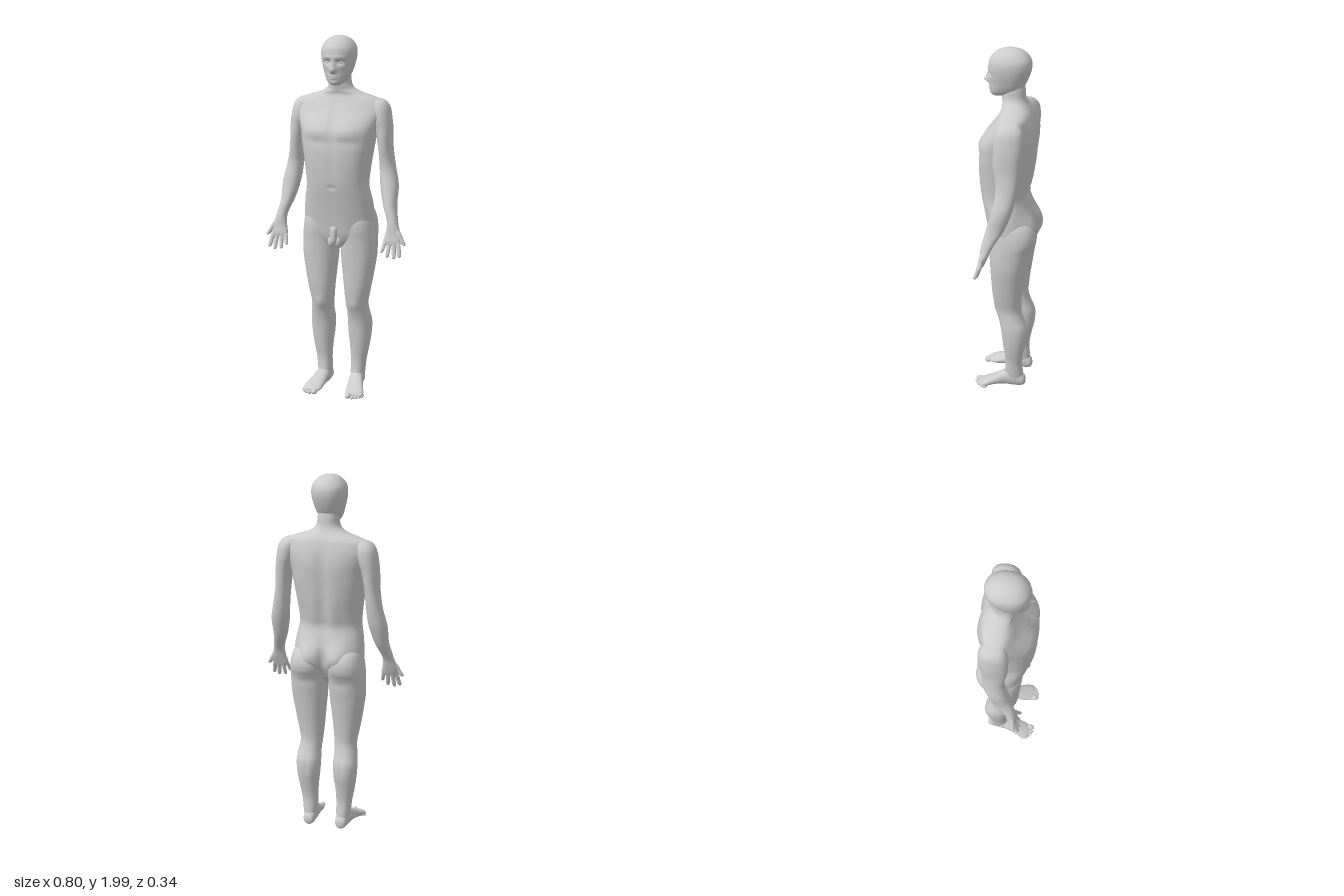
import * as THREE from 'three';

const skin = new THREE.MeshStandardMaterial({ color: 0xcccccc });
skin.name = 'plain grey';

// Smooth interpolation of one number through four neighbours
const spline = (a, b, c, d, t) =>
  0.5 * (2 * b + (c - a) * t + (2 * a - 5 * b + 4 * c - d) * t * t + (3 * b - a - 3 * c + d) * t * t * t);

// Loft through rings [along, centreX, radiusX, back, front, roundness].
// Rings run from top to bottom, or from heel to toe with alongZ, which swaps y and z.
// bumps: [x, along, side (1 front, -1 back), spreadX, spreadAlong, outward]
function loft(name, rings, { side = 1, bumps = [], segs = 64, sub = 7, alongZ = false } = {}) {
  const rows = [];
  const at = (i) => rings[Math.min(Math.max(i, 0), rings.length - 1)];
  const value = (r, k) => (k === 5 ? r[5] ?? 2.2 : r[k]);
  for (let i = 0; i < rings.length - 1; i++) {
    const last = i === rings.length - 2;
    for (let s = 0; s < sub + (last ? 1 : 0); s++) {
      rows.push([0, 1, 2, 3, 4, 5].map((k) =>
        spline(value(at(i - 1), k), value(at(i), k), value(at(i + 1), k), value(at(i + 2), k), s / sub)));
    }
  }
  // closed ends
  const cap = ([s, cx, , lo, hi, n]) => [s, cx, 0, (lo + hi) / 2, (lo + hi) / 2, n];
  rows.unshift(cap(rows[0]));
  rows.push(cap(rows[rows.length - 1]));

  const pos = [], index = [];
  const power = (v, n) => Math.sign(v) * Math.pow(Math.abs(v), 2 / n);
  rows.forEach(([s, cx, rx, lo, hi, n], i) => {
    for (let j = 0; j < segs; j++) {
      const t = (j / segs) * Math.PI * 2;
      const x = side * cx + rx * power(Math.cos(t), n);
      let w = (lo + hi) / 2 + ((hi - lo) / 2) * power(Math.sin(t), n);
      for (const [bx, bs, face, sx, ss, out] of bumps) {
        const weight = Math.max(0, Math.sin(t) * face);
        const dx = (Math.abs(x) - bx) / sx, ds = (s - bs) / ss;
        w += face * out * weight * Math.exp(-dx * dx - ds * ds);
      }
      if (alongZ) pos.push(x, w, s);
      else pos.push(x, s, w);
      if (i < rows.length - 1) {
        const a = i * segs + j, b = i * segs + ((j + 1) % segs);
        index.push(a, b, a + segs, b, b + segs, a + segs);
      }
    }
  });
  const g = new THREE.BufferGeometry();
  g.setAttribute('position', new THREE.Float32BufferAttribute(pos, 3));
  g.setIndex(index);
  g.computeVertexNormals();
  const mesh = new THREE.Mesh(g, skin);
  mesh.name = name;
  return mesh;
}

function ellipsoid(name, x, y, z, rx, ry, rz) {
  const mesh = new THREE.Mesh(new THREE.SphereGeometry(1, 20, 14), skin);
  mesh.name = name;
  mesh.position.set(x, y, z);
  mesh.scale.set(rx, ry, rz);
  return mesh;
}

// Finger or thumb from a knuckle to a tip, with a rounded end
function digit(name, side, [x0, y0, z0], [x1, y1, z1], r) {
  const rings = [[0, 0.9], [0.25, 1.05], [0.5, 0.95], [0.75, 0.92], [0.93, 0.75], [1, 0.25]].map(([t, k]) => {
    const z = z0 + (z1 - z0) * t;
    return [y0 + (y1 - y0) * t, x0 + (x1 - x0) * t, r * k, z - r * k, z + r * k, 2];
  });
  return loft(name, rings, { side, segs: 14, sub: 3 });
}

export function createModel() {
  const body = new THREE.Group();
  body.name = 'figure';

  // Head with brow, eye sockets, nose, lips and chin
  body.add(loft('head', [
    [2.0, 0, 0.004, -0.014, -0.006], [1.993, 0, 0.037, -0.055, 0.035], [1.975, 0, 0.066, -0.09, 0.07],
    [1.94, 0, 0.089, -0.118, 0.099], [1.9, 0, 0.093, -0.122, 0.106], [1.86, 0, 0.087, -0.112, 0.104],
    [1.82, 0, 0.076, -0.095, 0.102], [1.79, 0, 0.066, -0.075, 0.1], [1.765, 0, 0.052, -0.04, 0.098],
    [1.75, 0, 0.036, 0, 0.092], [1.742, 0, 0.02, 0.045, 0.078],
  ], {
    segs: 96, sub: 9,
    bumps: [
      [0, 1.823, 1, 0.014, 0.015, 0.026], [0, 1.85, 1, 0.011, 0.024, 0.014],
      [0.035, 1.865, 1, 0.021, 0.014, -0.015], [0.03, 1.89, 1, 0.03, 0.011, 0.004],
      [0, 1.792, 1, 0.024, 0.006, 0.006], [0, 1.78, 1, 0.02, 0.006, 0.005],
      [0, 1.757, 1, 0.02, 0.01, 0.004], [0.05, 1.815, 1, 0.018, 0.025, -0.005],
    ],
  }));

  // Neck and trunk with sloping shoulders, chest, midline, shoulder blades, spine and hips
  body.add(loft('torso', [
    [1.83, 0, 0.05, -0.08, 0.02], [1.78, 0, 0.056, -0.089, 0.033], [1.74, 0, 0.062, -0.092, 0.035],
    [1.715, 0, 0.08, -0.1, 0.03], [1.695, 0, 0.12, -0.112, 0.025], [1.677, 0, 0.178, -0.124, 0.03],
    [1.655, 0, 0.225, -0.134, 0.042], [1.61, 0, 0.242, -0.145, 0.07], [1.56, 0, 0.228, -0.149, 0.105, 2.4],
    [1.5, 0, 0.208, -0.149, 0.138, 2.6], [1.43, 0, 0.197, -0.145, 0.148, 2.7], [1.35, 0, 0.185, -0.136, 0.152, 2.6],
    [1.25, 0, 0.173, -0.117, 0.147, 2.5], [1.19, 0, 0.171, -0.107, 0.139, 2.5], [1.12, 0, 0.185, -0.122, 0.125, 2.4],
    [1.05, 0, 0.194, -0.135, 0.112, 2.3], [0.98, 0, 0.195, -0.135, 0.1], [0.92, 0, 0.165, -0.1, 0.09],
    [0.87, 0, 0.09, -0.06, 0.07], [0.84, 0, 0.02, -0.01, 0.03],
  ], {
    segs: 96,
    bumps: [
      [0.09, 1.51, 1, 0.075, 0.055, 0.011], [0.09, 1.448, 1, 0.08, 0.022, -0.005],
      [0, 1.53, 1, 0.014, 0.07, -0.008], [0, 1.33, 1, 0.014, 0.11, -0.004], [0, 1.2, 1, 0.011, 0.011, -0.009],
      [0.06, 1.7, 1, 0.05, 0.012, 0.005], [0.1, 1.54, -1, 0.07, 0.09, 0.009],
      [0, 1.4, -1, 0.024, 0.2, -0.014], [0, 1.0, -1, 0.022, 0.07, -0.025],
      [0.06, 1.27, -1, 0.03, 0.1, 0.006], [0.095, 1.025, -1, 0.07, 0.075, 0.042],
    ],
  }));

  // Simple anatomical forms
  body.add(loft('genitals', [
    [0.985, 0, 0.012, 0.06, 0.09], [0.965, 0, 0.019, 0.07, 0.112], [0.93, 0, 0.018, 0.078, 0.118],
    [0.895, 0, 0.018, 0.08, 0.118], [0.877, 0, 0.012, 0.087, 0.11],
  ], { segs: 24, sub: 4 }));

  for (const side of [1, -1]) {
    const tag = side > 0 ? 'left' : 'right';
    const add = (part) => body.add(part);
    add(ellipsoid(tag + 'Eye', side * 0.035, 1.863, 0.077, 0.013, 0.008, 0.012));
    add(ellipsoid(tag + 'Gonad', side * 0.019, 0.885, 0.075, 0.021, 0.032, 0.025));

    // Arm from shoulder to palm
    add(loft(tag + 'Arm', [
      [1.668, 0.19, 0.012, -0.07, -0.04], [1.655, 0.203, 0.04, -0.1, -0.002], [1.62, 0.217, 0.052, -0.122, 0.02],
      [1.56, 0.229, 0.052, -0.126, 0.03], [1.5, 0.242, 0.045, -0.12, 0.026], [1.4, 0.252, 0.039, -0.11, 0.02],
      [1.3, 0.264, 0.043, -0.1, 0.012], [1.2, 0.28, 0.049, -0.08, 0.03], [1.1, 0.293, 0.037, -0.042, 0.055],
      [1.03, 0.313, 0.03, 0.0, 0.072], [0.99, 0.321, 0.032, 0.022, 0.08], [0.95, 0.325, 0.042, 0.038, 0.084],
      [0.915, 0.322, 0.046, 0.053, 0.09, 2.5], [0.895, 0.321, 0.04, 0.062, 0.09, 2.5],
    ], { side, segs: 48, bumps: [[0.26, 1.45, 1, 0.03, 0.06, 0.006]] }));

    // Fingers, thumb on the outside
    add(digit(tag + 'Thumb', side, [0.345, 0.975, 0.062], [0.393, 0.895, 0.078], 0.014));
    [[0.356, 0.373, 0.833], [0.334, 0.342, 0.823], [0.311, 0.304, 0.828], [0.288, 0.272, 0.852]].forEach(([x0, x1, y1], i) =>
      add(digit(tag + 'Finger' + (i + 1), side, [x0, 0.915, 0.073], [x1, y1, 0.103], 0.0125 - i * 0.0005)));

    // Leg from hip to ankle
    add(loft(tag + 'Leg', [
      [1.1, 0.1, 0.04, -0.08, 0.03], [1.05, 0.103, 0.08, -0.142, 0.07], [1.0, 0.105, 0.095, -0.167, 0.085],
      [0.95, 0.107, 0.1, -0.166, 0.087], [0.9, 0.109, 0.101, -0.145, 0.082], [0.8, 0.11, 0.099, -0.125, 0.077],
      [0.7, 0.108, 0.087, -0.11, 0.072], [0.6, 0.104, 0.073, -0.097, 0.065], [0.52, 0.1, 0.062, -0.093, 0.05],
      [0.46, 0.105, 0.062, -0.108, 0.034], [0.4, 0.108, 0.067, -0.13, 0.02], [0.33, 0.108, 0.064, -0.13, 0.012],
      [0.25, 0.107, 0.054, -0.113, 0.003], [0.17, 0.102, 0.044, -0.1, -0.006], [0.1, 0.098, 0.04, -0.105, 0.0],
      [0.05, 0.097, 0.034, -0.108, 0.01], [0.02, 0.097, 0.025, -0.1, 0.0],
    ], {
      side,
      bumps: [[0.1, 0.52, 1, 0.032, 0.035, 0.008], [0.1, 0.88, -1, 0.06, 0.02, -0.005], [0.1, 0.38, -1, 0.01, 0.06, -0.004]],
    }));

    // Foot and toes
    add(loft(tag + 'Foot', [
      [-0.12, 0.095, 0.01, 0.03, 0.055], [-0.108, 0.095, 0.029, 0.014, 0.08], [-0.06, 0.097, 0.037, 0.008, 0.115],
      [0, 0.102, 0.041, 0.014, 0.102], [0.05, 0.112, 0.046, 0.014, 0.074], [0.1, 0.123, 0.052, 0.008, 0.05],
      [0.13, 0.127, 0.045, 0.01, 0.036], [0.14, 0.127, 0.036, 0.014, 0.03],
    ], { side, segs: 40, sub: 5, alongZ: true }));
    [[0.1, 0.146, 0.017], [0.125, 0.146, 0.011], [0.143, 0.138, 0.0105], [0.158, 0.127, 0.01], [0.17, 0.113, 0.01]].forEach(([x, z, r], i) =>
      add(ellipsoid(tag + 'Toe' + (i + 1), side * x, r * 0.8 + 0.008, z, r, r * 0.85, 0.025)));
  }
  return body;
}
